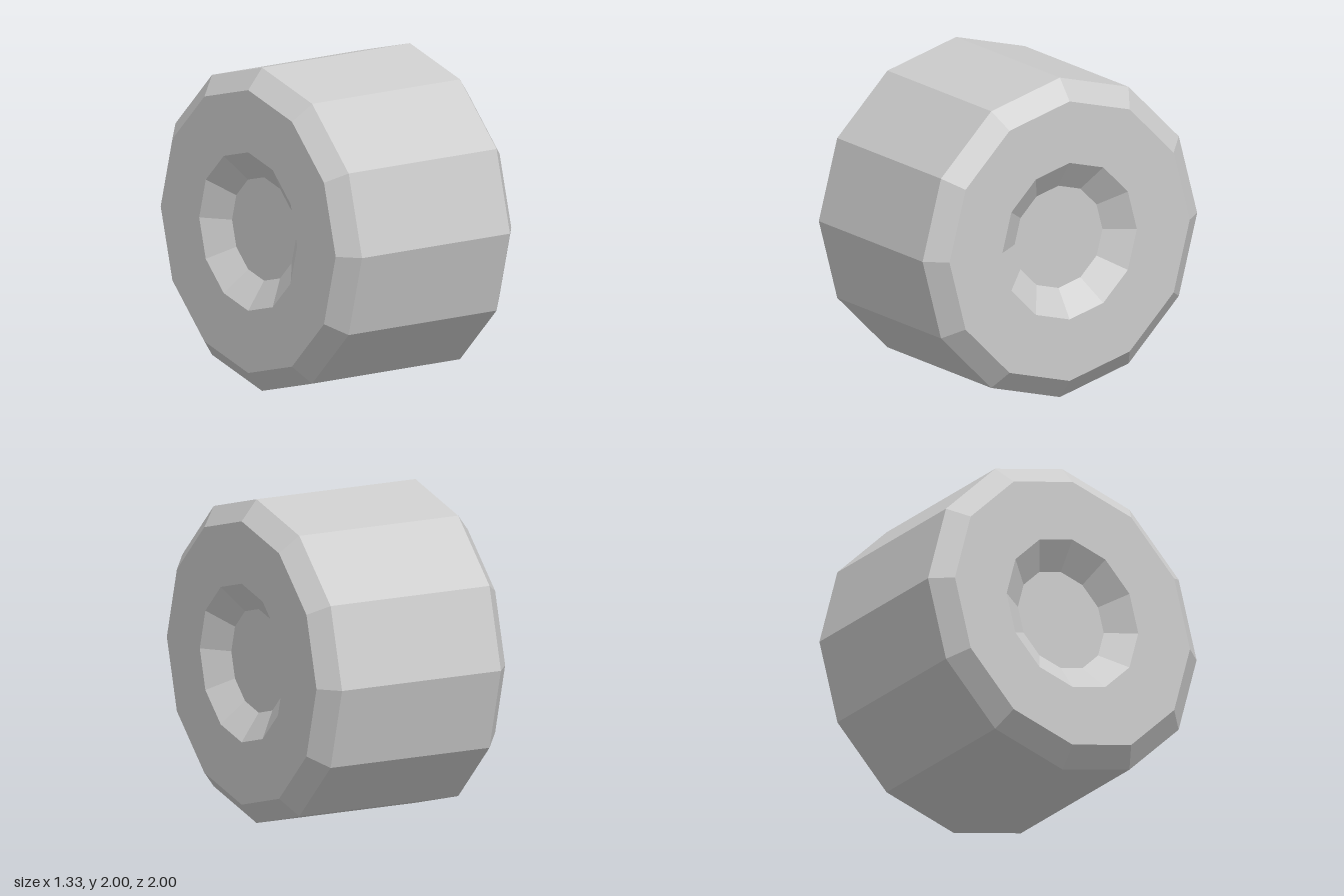
import * as THREE from 'three';

const SIDES = 12;

// Faceted ring of [radius, x] points, swept around the x axle
function ring(name, profile, material) {
  const points = profile.map(([r, x]) => new THREE.Vector2(r, x));
  const geometry = new THREE.LatheGeometry(points, SIDES).toNonIndexed();
  geometry.rotateZ(-Math.PI / 2); // lathe axis y -> +x
  geometry.computeVertexNormals();
  const mesh = new THREE.Mesh(geometry, material);
  mesh.name = name;
  return mesh;
}

export function createModel() {
  const material = new THREE.MeshStandardMaterial({ color: 0xcccccc, flatShading: true });
  const wheel = new THREE.Group();
  wheel.name = 'wheel';

  // Broad tread
  wheel.add(ring('tread', [[1, -0.56], [1, 0.56]], material));

  // Each side: bevelled shoulder, flat sidewall and sunken hub
  for (const [label, turn] of [['left', 0], ['right', Math.PI]]) {
    const side = new THREE.Group();
    side.name = `${label}Side`;
    side.add(
      ring('shoulder', [[1, 0.56], [0.875, 0.665]], material),
      ring('sidewall', [[0.875, 0.665], [0.49, 0.665]], material),
      ring('hubRecess', [[0.49, 0.665], [0.32, 0.545]], material),
      ring('hubFloor', [[0.32, 0.545], [0, 0.545]], material)
    );
    side.rotation.y = turn;
    wheel.add(side);
  }

  wheel.position.y = 1;
  const model = new THREE.Group();
  model.name = 'wheelModel';
  model.add(wheel);
  return model;
}
